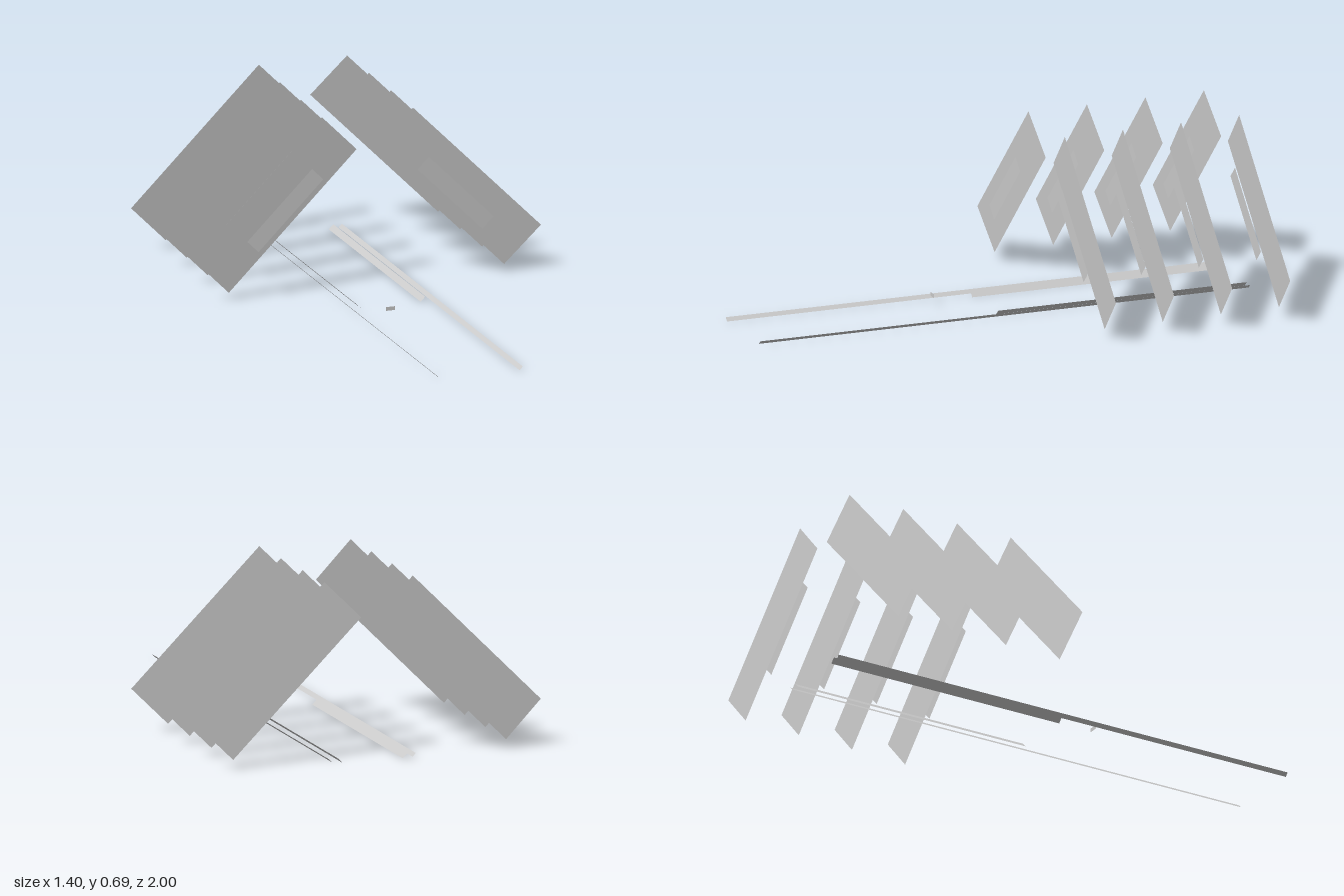
import * as THREE from 'three';

const material = new THREE.MeshStandardMaterial({ color: 0xcccccc, side: THREE.DoubleSide });

function sheet(name, geometry, x, y, z) {
  const mesh = new THREE.Mesh(geometry, material);
  mesh.name = name;
  mesh.position.set(x, y, z);
  return mesh;
}

// Thin panel sloping down and outward, its upper edge leaning forward
function slopedPanel(length, width, lean) {
  return new THREE.PlaneGeometry(length, width).rotateX(lean).rotateZ(-Math.PI / 4);
}

// Long strip along z, its outer edge raised by 45 degrees
function railStrip(width, length) {
  return new THREE.PlaneGeometry(width, length).rotateX(-Math.PI / 2).rotateZ(Math.PI / 4);
}

// Everything on the +x side
function createSide(name) {
  const side = new THREE.Group();
  side.name = name;

  // Row of four large panels, each with a small plate in front
  const panel = slopedPanel(0.728, 0.204, 0.06);
  const plate = slopedPanel(0.369, 0.064, 0);
  for (let i = 0; i < 4; i++) {
    const shift = 0.002 * i;
    side.add(sheet('largePanel', panel, 0.369 - shift, 0.359 + shift, -0.246 - 0.238 * i));
    side.add(sheet('smallPlate', plate, 0.343 - shift, 0.345 + shift, -0.208 - 0.236 * i));
  }

  // Long outer rail and shorter inner rail
  side.add(sheet('outerRail', railStrip(0.019, 2), 0.167, 0.01, 0));
  side.add(sheet('innerRail', railStrip(0.026, 1.015), 0.13, 0.0092, -0.4925));
  return side;
}

export function createModel() {
  const model = new THREE.Group();
  model.name = 'panelRows';

  const left = createSide('leftSide');
  const right = createSide('rightSide');
  right.scale.x = -1;
  model.add(left, right);

  // Single small marker plate between the rails
  model.add(sheet('markerPlate', new THREE.PlaneGeometry(0.038, 0.015), -0.068, 0.045, 0.2));
  return model;
}
